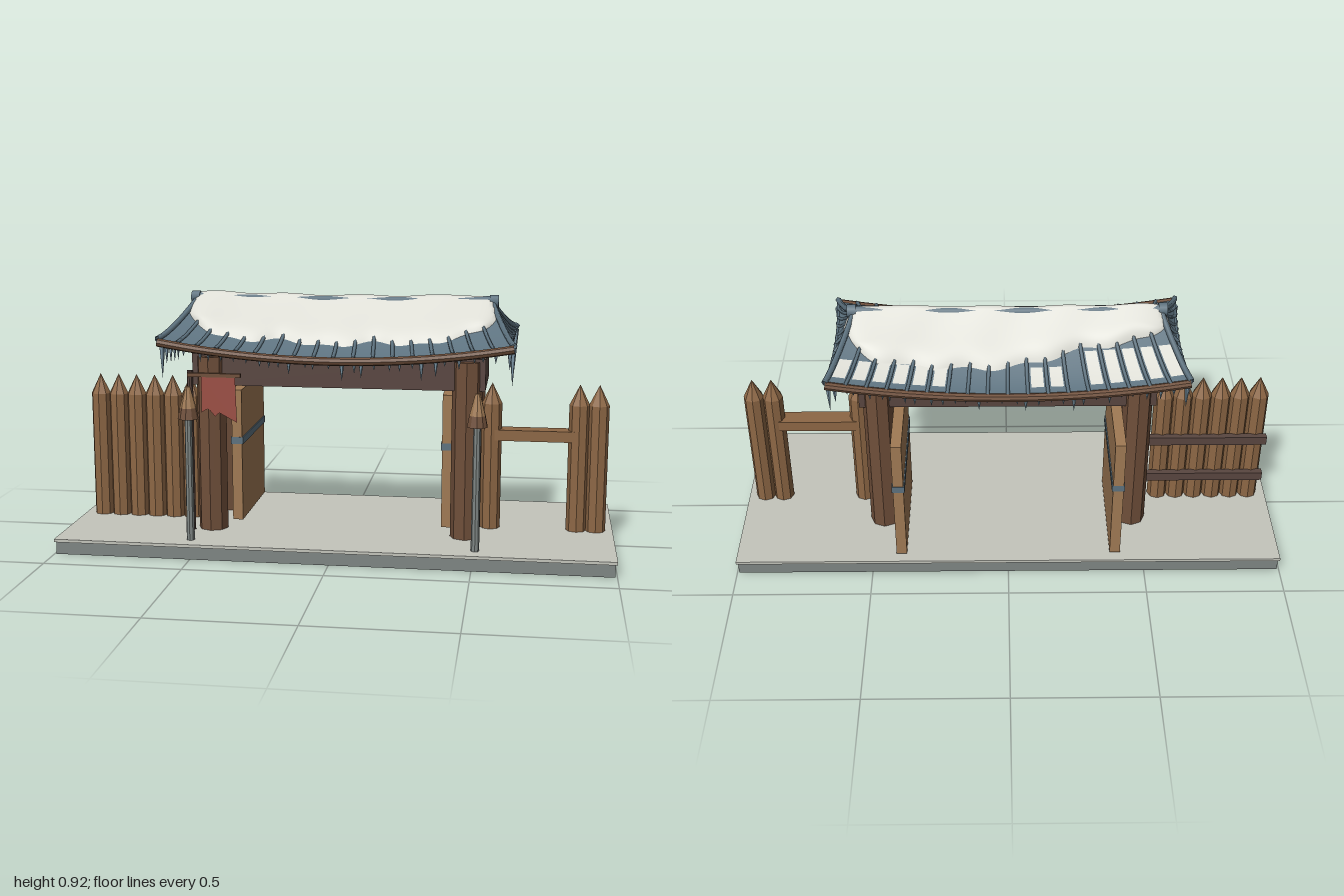
import * as THREE from 'three';

const mat = (name, color, extra = {}) => Object.assign(new THREE.MeshStandardMaterial({ color, ...extra }), { name });
const V = (x, y, z) => new THREE.Vector3(x, y, z);

export function createModel() {
  const D = { side: THREE.DoubleSide };
  const stone = mat('grey stone', 0x7f8684, { flatShading: true });
  const ground = mat('pale ground', 0xc4c5bc);
  const tile = mat('blue grey tile', 0x5d727f, D);
  const ice = mat('ice', 0x7e98a8, { flatShading: true });
  const snow = mat('snow', 0xdcdcd4, D);
  const postWood = mat('post wood', 0x6f4f3a, { flatShading: true });
  const stakeWood = mat('stake wood', 0x8d6745, { flatShading: true });
  const plankWood = mat('plank wood', 0xa07a54, { flatShading: true });
  const darkWood = mat('dark wood', 0x594640, { flatShading: true });
  const cloth = mat('red cloth', 0x9c4f44, D);

  const root = new THREE.Group();
  root.name = 'snowyGate';
  const add = (name, geo, m, x = 0, y = 0, z = 0, parent = root) => {
    const mesh = new THREE.Mesh(geo, m);
    mesh.name = name;
    mesh.position.set(x, y, z);
    parent.add(mesh);
    return mesh;
  };
  const group = (name) => {
    const g = new THREE.Group();
    g.name = name;
    root.add(g);
    return g;
  };
  // box and cylinder given by their limits
  const box = (name, m, x0, x1, y0, y1, z0, z1, p) =>
    add(name, new THREE.BoxGeometry(x1 - x0, y1 - y0, z1 - z0), m, (x0 + x1) / 2, (y0 + y1) / 2, (z0 + z1) / 2, p);
  const cyl = (name, m, rTop, rBottom, y0, y1, x, z, sides, p) =>
    add(name, new THREE.CylinderGeometry(rTop, rBottom, y1 - y0, sides), m, x, (y0 + y1) / 2, z, p);
  const tube = (name, m, points, r, sides, p) =>
    add(name, new THREE.TubeGeometry(new THREE.CatmullRomCurve3(points), points.length * 2, r, sides), m, 0, 0, 0, p);
  const steps = (n, f) => Array.from({ length: n + 1 }, (_, i) => f(i / n));
  // curved sheet from f(a, b), both from 0 to 1
  const sheet = (f, na, nb) => {
    const pos = [], idx = [];
    for (let j = 0; j <= nb; j++) for (let i = 0; i <= na; i++) pos.push(...f(i / na, j / nb).toArray());
    for (let j = 0; j < nb; j++) for (let i = 0; i < na; i++) {
      const k = j * (na + 1) + i, l = k + na + 1;
      idx.push(k, k + 1, l, k + 1, l + 1, l);
    }
    const g = new THREE.BufferGeometry();
    g.setAttribute('position', new THREE.Float32BufferAttribute(pos, 3));
    g.setIndex(idx);
    g.computeVertexNormals();
    return g;
  };
  let seed = 7;
  const rand = () => (seed = (seed * 16807) % 2147483647) / 2147483647;

  // ground slab
  box('slabBase', stone, -0.993, 0.993, 0, 0.045, -0.383, 0.383);
  box('slabTop', ground, -1, 1, 0.045, 0.056, -0.388, 0.388);

  // gate posts, beam and open doors
  for (const s of [-1, 1]) {
    for (const z of [-0.14, 0.145]) cyl('gatePost', postWood, 0.054, 0.054, 0.056, 0.7, s * 0.465, z, 8);
    const door = group('door');
    box('doorPanel', plankWood, s * 0.392 - 0.019, s * 0.392 + 0.019, 0.064, 0.56, -0.355, 0.063, door);
    box('doorBand', tile, s * 0.392 - 0.023, s * 0.392 + 0.023, 0.355, 0.381, -0.356, 0.064, door);
  }
  box('lintel', darkWood, -0.53, 0.53, 0.595, 0.71, -0.167, 0.167);

  // palisade
  const stake = (x) => {
    const g = group('stake');
    cyl('stakeShaft', stakeWood, 0.037, 0.037, 0.056, 0.525, x, 0, 8, g);
    cyl('stakeTip', stakeWood, 0, 0.037, 0.525, 0.6, x, 0, 8, g);
  };
  for (let i = 0; i < 6; i++) stake(-0.93 + i * 0.07);
  [0.55, 0.866, 0.936].forEach(stake);
  for (const y of [0.175, 0.345]) box('backRail', darkWood, -0.97, -0.53, y - 0.017, y + 0.017, -0.055, -0.03);
  box('sideRail', stakeWood, 0.55, 0.85, 0.39, 0.43, -0.035, 0.032);

  // torches
  for (const s of [-1, 1]) {
    const g = group('torch'), x = s * 0.51, z = 0.32;
    cyl('torchPole', stone, 0.013, 0.015, 0.056, 0.5, x, z, 8, g);
    cyl('torchCup', postWood, 0.029, 0.037, 0.5, 0.54, x, z, 10, g);
    cyl('torchHead', plankWood, 0.009, 0.029, 0.54, 0.615, x, z, 10, g);
  }

  // torn banner on its pole
  cyl('bannerPole', darkWood, 0.011, 0.011, 0.056, 0.65, -0.535, 0.185, 8);
  box('bannerBar', postWood, -0.54, -0.345, 0.63, 0.644, 0.193, 0.207);
  const torn = [[-0.49, 0.63], [-0.49, 0.5], [-0.465, 0.515], [-0.44, 0.485], [-0.425, 0.5], [-0.36, 0.465], [-0.365, 0.63]];
  add('banner', new THREE.ShapeGeometry(new THREE.Shape(torn.map(([x, y]) => new THREE.Vector2(x, y)))), cloth, 0, 0, 0.202);

  // roof rules: u runs along the ridge, v from ridge (0) to eave (1)
  const height = (u, v) => {
    const e = 0.715 + 0.055 * u * u, r = 0.885 + 0.01 * u * u;
    return e + (r - e) * Math.pow(Math.max(0, 1 - v), 1.4);
  };
  const slope = (s, u, v, lift = 0) => V(u * (0.54 + 0.09 * v), height(u, v) + lift, s * 0.27 * v);
  const hip = (s, w, v, lift = 0) =>
    V(s * (0.54 + v * (0.075 + 0.015 * w * w)), height(1, v) - 0.014 * (1 - w * w) * v + lift, w * 0.27 * v);
  const roofY = (x, z) => {
    const v = Math.abs(z) / 0.27, reach = 0.54 + 0.09 * v, ax = Math.abs(x);
    return ax > reach ? height(1, (ax - 0.54) / 0.09) : height(ax / reach, v);
  };

  const roof = group('roof');
  const icicle = (p, len) => {
    const c = add('icicle', new THREE.ConeGeometry(0.007 + len * 0.05, len, 5), ice, p.x, p.y - len / 2, p.z, roof);
    c.rotation.x = Math.PI;
  };
  for (const s of [-1, 1]) {
    add('roofSlope', sheet((a, b) => slope(s, -s * (2 * a - 1), b), 28, 10), tile, 0, 0, 0, roof);
    add('roofEnd', sheet((a, b) => hip(s, s * (2 * a - 1), b), 14, 10), tile, 0, 0, 0, roof);
    // raised ribs
    const n = 18;
    for (let i = 0; i <= n; i++) {
      const u = -1 + (2 * i) / n;
      tube('slopeRib', tile, steps(6, (t) => slope(s, u, 0.04 + 0.96 * t, 0.004)), i % n ? 0.007 : 0.011, 5, roof);
    }
    for (let i = 1; i < 10; i++)
      tube('endRib', tile, steps(5, (t) => hip(s, -1 + i / 5, 0.08 + 0.92 * t, 0.003)), 0.006, 5, roof);
    // wooden eave and hanging ice
    tube('eave', postWood, steps(12, (t) => slope(s, 2 * t - 1, 1).add(V(0, -0.008, s * -0.002))), 0.015, 8, roof);
    tube('endEave', tile, steps(8, (t) => hip(s, 2 * t - 1, 1)), 0.006, 5, roof);
    for (let i = 0; i < 30; i++) {
      const u = -0.97 + (1.94 * (i + 0.6 * (rand() - 0.5))) / 29;
      icicle(slope(s, u, 0.97, -0.012), 0.025 + 0.05 * rand() * rand() + (i % 29 ? 0 : 0.03));
    }
    for (let i = 0; i < 11; i++) {
      const edge = i % 10 === 0;
      icicle(hip(s, -0.86 + i * 0.172, 0.98), edge ? 0.14 : 0.04 + 0.06 * rand());
    }
  }
  tube('ridge', tile, steps(8, (t) => V(1.12 * t - 0.56, 0.888 + 0.008 * (2 * t - 1) ** 2, 0)), 0.02, 8, roof);
  for (const s of [-1, 1]) {
    const cap = cyl('ridgeCap', tile, 0.024, 0.024, 0.88, 0.912, s * 0.55, 0, 8, roof);
    cap.rotation.z = Math.PI / 2;
  }

  // thin snow panels between the back ribs
  for (const i of [0, 1, 2, 3, 4, 6, 7, 12, 13, 14, 15, 16, 17]) {
    const u0 = -1 + i / 9 + 0.02, top = i < 5 ? 0.45 : 0.62;
    add('snowPanel', sheet((a, b) => slope(-1, u0 + a * 0.071, top + (0.88 - top) * b, 0.004), 2, 4), snow, 0, 0, 0, roof);
  }

  // thick snow blanket following the roof, with a wavy lower edge
  const blanket = sheet((p, q) => {
    const a = 2 * p - 1, b = 2 * q - 1;
    const x = b * 0.585 * (1 - 0.06 * a * a);
    const front = 0.18 + 0.01 * Math.sin(x * 19 + 2.2) + 0.008 * Math.sin(x * 37);
    const back = 0.14 + 0.035 * Math.tanh((x + 0.15) * 7) + 0.008 * Math.sin(x * 31);
    const z = a * (a > 0 ? front : back) * (1 - 0.42 * Math.pow(b, 10));
    const rim = Math.max(Math.pow(a, 8), Math.pow(b, 16));
    const puff = 0.027 + 0.003 * Math.sin(x * 23 + z * 15);
    return V(x, roofY(x, z) + puff * (1 - rim) - 0.004 * rim, z);
  }, 36, 90);
  add('snowBlanket', blanket, snow, 0, 0, 0, roof);

  return root;
}
